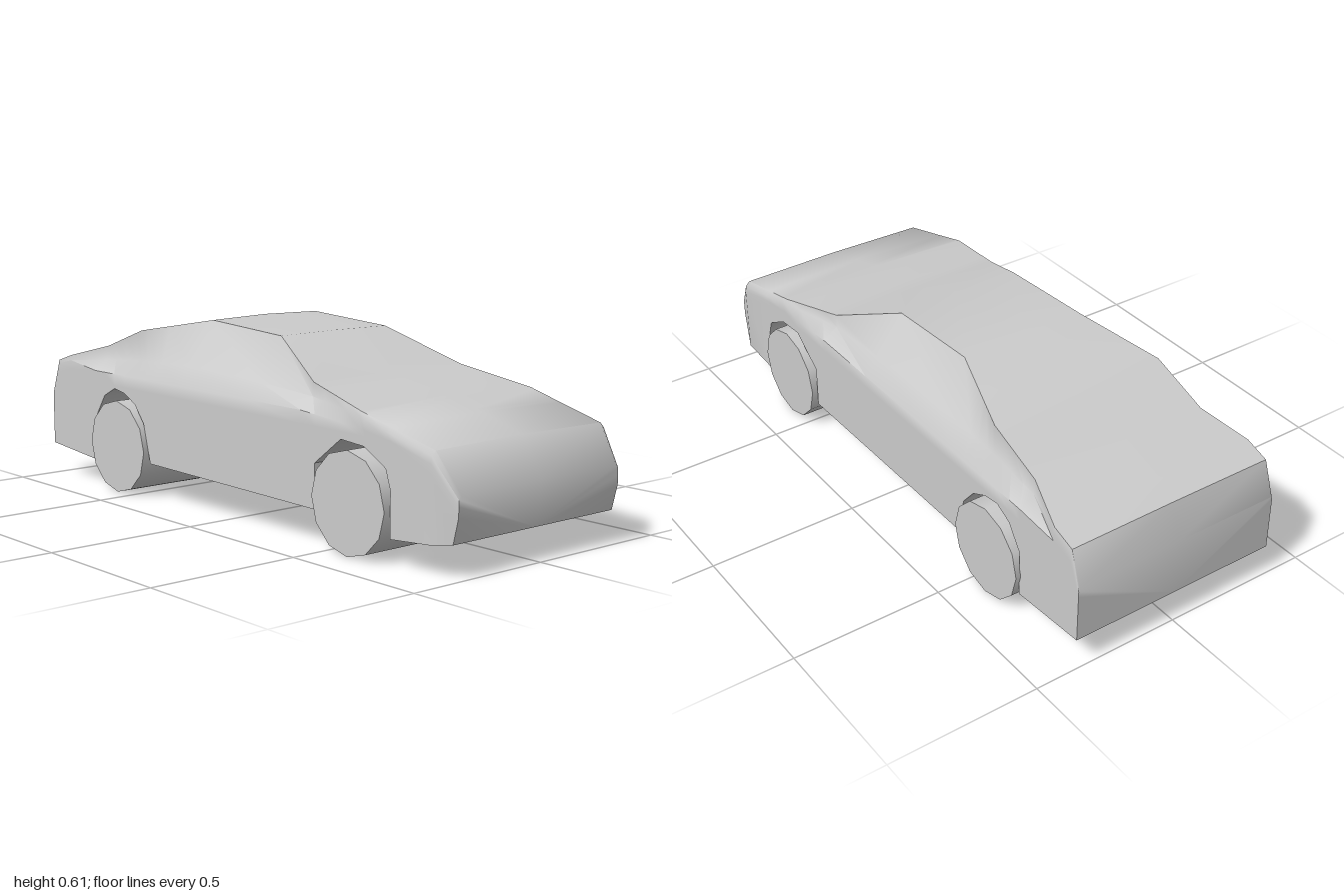
import * as THREE from 'three';
import { toCreasedNormals } from 'three/addons/utils/BufferGeometryUtils.js';

// Upper body, front to back:
// z, centre height, edge x, edge y, shoulder x, shoulder y, belt y, mid y, half width
const UPPER = [
  [1.00, 0.24, 0.325, 0.24, 0.335, 0.23, 0.21, 0.18, 0.335],
  [0.92, 0.36, 0.345, 0.355, 0.36, 0.34, 0.32, 0.29, 0.363],
  [0.76, 0.405, 0.35, 0.395, 0.363, 0.38, 0.36, 0.345, 0.363],
  [0.63, 0.44, 0.355, 0.428, 0.363, 0.415, 0.38, 0.36, 0.363],
  [0.37, 0.48, 0.31, 0.478, 0.313, 0.435, 0.40, 0.36, 0.363],
  [0.11, 0.587, 0.22, 0.585, 0.31, 0.45, 0.40, 0.36, 0.363],
  [-0.24, 0.61, 0.22, 0.605, 0.31, 0.46, 0.40, 0.36, 0.363],
  [-0.52, 0.556, 0.308, 0.553, 0.31, 0.45, 0.40, 0.36, 0.363],
  [-0.72, 0.485, 0.31, 0.482, 0.315, 0.435, 0.40, 0.36, 0.363],
  [-0.88, 0.44, 0.36, 0.438, 0.363, 0.42, 0.39, 0.35, 0.363],
  [-0.96, 0.415, 0.36, 0.413, 0.363, 0.40, 0.37, 0.33, 0.363],
  [-1.00, 0.30, 0.36, 0.30, 0.363, 0.29, 0.27, 0.24, 0.363],
];

// Underside with wheel arches: z, y (a repeated z makes a vertical step)
const UNDER = [
  [1.00, 0.10], [0.76, 0.08], [0.76, 0.22], [0.74, 0.28], [0.65, 0.33], [0.55, 0.337],
  [0.435, 0.25], [0.435, 0.11], [-0.405, 0.12], [-0.44, 0.25], [-0.49, 0.31],
  [-0.55, 0.34], [-0.61, 0.35], [-0.67, 0.32], [-0.725, 0.24], [-0.725, 0.087], [-1.00, 0.11],
];

// Linear lookup in a table sorted by falling z
function sample(table, z) {
  const i = Math.max(1, table.findIndex((row) => row[0] <= z));
  const a = table[i - 1], b = table[i];
  const t = (a[0] - z) / (a[0] - b[0]);
  return a.map((v, k) => v + (b[k] - v) * t);
}

// Closed cross-section, counter-clockwise seen from the front
function section(z, bottom) {
  const [, top, ex, ey, sx, sy, belt, mid, w] = sample(UPPER, z);
  const zLow = z === 1 ? 0.98 : z;
  const half = [[w, bottom, zLow], [w, mid, z], [w, belt, z], [sx, sy, z], [ex, ey, z]];
  const mirrored = half.map(([x, y, d]) => [-x, y, d]).reverse();
  return [[0, bottom, zLow], ...half, [0, top, z], ...mirrored];
}

function bodyGeometry() {
  // Merge both station lists, keeping the arch steps
  const stations = [...UNDER];
  for (const [z] of UPPER) {
    if (UNDER.some((u) => u[0] === z)) continue;
    stations.splice(stations.findIndex((s) => s[0] < z), 0, [z, sample(UNDER, z)[1]]);
  }
  const rings = stations.map(([z, y]) => section(z, y));
  const n = rings[0].length;
  const index = [];
  for (let i = 0; i < rings.length - 1; i++) {
    for (let j = 0; j < n; j++) {
      const a = i * n + j, b = i * n + (j + 1) % n;
      index.push(a, a + n, b, b, a + n, b + n);
    }
  }
  // Nose and tail faces
  const last = (rings.length - 1) * n;
  for (let j = 1; j < n - 1; j++) {
    index.push(0, j, j + 1);
    index.push(last, last + j + 1, last + j);
  }
  const geometry = new THREE.BufferGeometry();
  geometry.setAttribute('position', new THREE.Float32BufferAttribute(rings.flat(2), 3));
  geometry.setIndex(index);
  return toCreasedNormals(geometry, 0.9);
}

export function createModel() {
  const group = new THREE.Group();
  group.name = 'car';
  const material = new THREE.MeshStandardMaterial({ color: 0xcccccc });

  const body = new THREE.Mesh(bodyGeometry(), material);
  body.name = 'body';
  group.add(body);

  // Each axle is one full-width roller
  const roller = new THREE.CylinderGeometry(0.157, 0.157, 0.76, 12).rotateZ(Math.PI / 2);
  for (const [name, z] of [['frontWheels', 0.597], ['rearWheels', -0.575]]) {
    const wheels = new THREE.Mesh(roller, material);
    wheels.name = name;
    wheels.position.set(0, 0.157, z);
    group.add(wheels);
  }
  return group;
}
